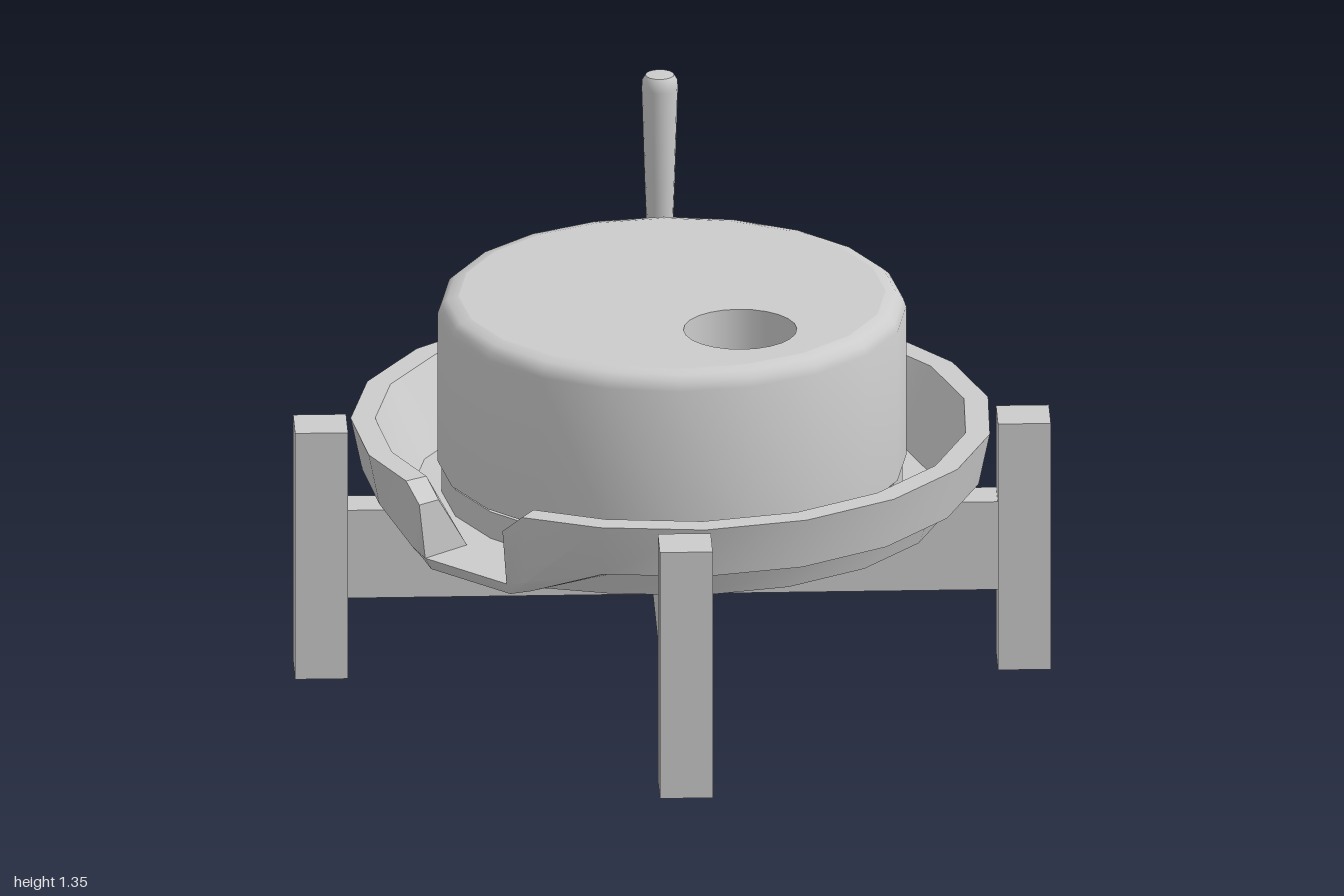
import * as THREE from 'three';
import { toCreasedNormals } from 'three/addons/utils/BufferGeometryUtils.js';

const stone = new THREE.MeshStandardMaterial({ color: 0xcccccc, side: THREE.DoubleSide });
stone.name = 'pale stone';

function add(parent, name, geometry, x = 0, y = 0, z = 0) {
  const mesh = new THREE.Mesh(geometry, stone);
  mesh.name = name;
  mesh.position.set(x, y, z);
  parent.add(mesh);
  return mesh;
}

const v2 = ([x, y]) => new THREE.Vector2(x, y);
const lathe = (points, sides) => toCreasedNormals(new THREE.LatheGeometry(points.map(v2), sides), 0.7);

// Catch tray: cross-sections swept round the axis, with one open segment as the spout
function trayGeometry() {
  const start = 144, end = 484, step = (end - start) / 18;
  const stations = [];
  for (let i = 0; i <= 18; i++) stations.push([start + i * step, i % 18 ? 0 : 1, i % 18 ? 0.7 : 0.65]);
  stations.splice(1, 0, [start + 4, 0.8, 0.7]);
  stations.splice(-1, 0, [end - 4, 0.8, 0.7]);

  const pos = [];
  const point = (a, [r, y]) => [r * Math.cos(a * Math.PI / 180), y, r * Math.sin(a * Math.PI / 180)];
  const quad = (a, b, c, d) => pos.push(...a, ...b, ...c, ...a, ...c, ...d);
  const mix = THREE.MathUtils.lerp;

  // Profile runs from the floor centre, over the rim, to the underside centre
  const profile = ([, w, top]) => [
    [0, 0.5], [0.69, 0.5], [0.785, top], [0.85, top],
    [mix(0.82, 0.83, w), mix(0.557, 0.495, w)],
    [mix(0.76, 0.81, w), mix(0.535, 0.46, w)],
    [0.735, mix(0.472, 0.46, w)], [0, 0.472],
  ];
  const sweep = (a0, p0, a1, p1) => {
    for (let j = 0; j < p0.length - 1; j++) {
      quad(point(a0, p0[j]), point(a1, p1[j]), point(a1, p1[j + 1]), point(a0, p0[j + 1]));
    }
  };
  for (let i = 0; i < stations.length - 1; i++) {
    sweep(stations[i][0], profile(stations[i]), stations[i + 1][0], profile(stations[i + 1]));
  }

  // Spout floor and the two cut ends of the rim
  const cut = profile(stations[0]);
  const lip = cut.filter((_, j) => j !== 2 && j !== 3);
  sweep(end, lip, start + 360, lip);
  quad(...cut.slice(1, 5).map(p => point(start, p)));
  quad(...cut.slice(1, 5).reverse().map(p => point(end, p)));

  const geometry = new THREE.BufferGeometry();
  geometry.setAttribute('position', new THREE.Float32BufferAttribute(pos, 3));
  return toCreasedNormals(geometry, 0.5);
}

export function createModel() {
  const model = new THREE.Group();
  model.name = 'handMill';

  // Stand: four legs, open underneath, and two crossed beams
  const stand = new THREE.Group();
  stand.name = 'stand';
  model.add(stand);
  const legGeometry = new THREE.BoxGeometry(0.14, 0.695, 0.14);
  const index = Array.from(legGeometry.index.array);
  index.splice(18, 6);
  legGeometry.setIndex(index);
  legGeometry.clearGroups();
  for (const [x, z] of [[1, 0], [-1, 0], [0, 1], [0, -1]]) {
    add(stand, 'leg', legGeometry, x * 0.93, 0.3475, z * 0.93);
  }
  add(stand, 'crossBeam', new THREE.BoxGeometry(1.73, 0.248, 0.11), 0, 0.346, 0);
  add(stand, 'longBeam', new THREE.BoxGeometry(0.11, 0.215, 1.73), 0, 0.3525, 0);

  add(model, 'tray', trayGeometry());

  // Fixed lower stone
  add(model, 'lowerStone', lathe([[0.61, 0.49], [0.61, 0.575], [0, 0.575]], 20));

  // Turning upper stone with an off-centre feed hole
  const upper = new THREE.Group();
  upper.name = 'upperStone';
  model.add(upper);
  add(upper, 'upperStoneSide', lathe(
    [[0, 0.585], [0.62, 0.585], [0.62, 1.005], [0.612, 1.028], [0.595, 1.043], [0.565, 1.05]], 20));
  const top = new THREE.Shape();
  for (let i = 0; i < 20; i++) {
    const a = i * Math.PI / 10;
    top[i ? 'lineTo' : 'moveTo'](0.565 * Math.sin(a), 0.565 * Math.cos(a));
  }
  const hole = new THREE.Path();
  hole.absarc(0.17, -0.275, 0.15, 0, Math.PI * 2, true);
  top.holes.push(hole);
  add(upper, 'upperStoneTop', new THREE.ShapeGeometry(top, 12).rotateX(-Math.PI / 2), 0, 1.05, 0);
  add(upper, 'feedHole', new THREE.CylinderGeometry(0.15, 0.15, 0.464, 24, 1, true), 0.17, 0.818, 0.275);

  // Crank bracket, waisted in plan, and its turned handle
  const plan = [[0.065, 0.58], [0.052, 0.74], [0.066, 0.83], [0.066, 0.905], [0.052, 0.922]];
  const outline = [...plan, ...plan.map(([x, z]) => [-x, z]).reverse()];
  const bracket = new THREE.ExtrudeGeometry(new THREE.Shape(outline.map(v2)), { depth: 0.11, bevelEnabled: false });
  add(model, 'crankBracket', bracket.rotateX(-Math.PI / 2), 0, 0.79, 0);
  add(model, 'crankHandle', lathe(
    [[0.034, 0.89], [0.04, 1.05], [0.048, 1.31], [0.047, 1.333], [0.038, 1.347], [0, 1.35]], 16), 0, 0, -0.855);

  return model;
}
